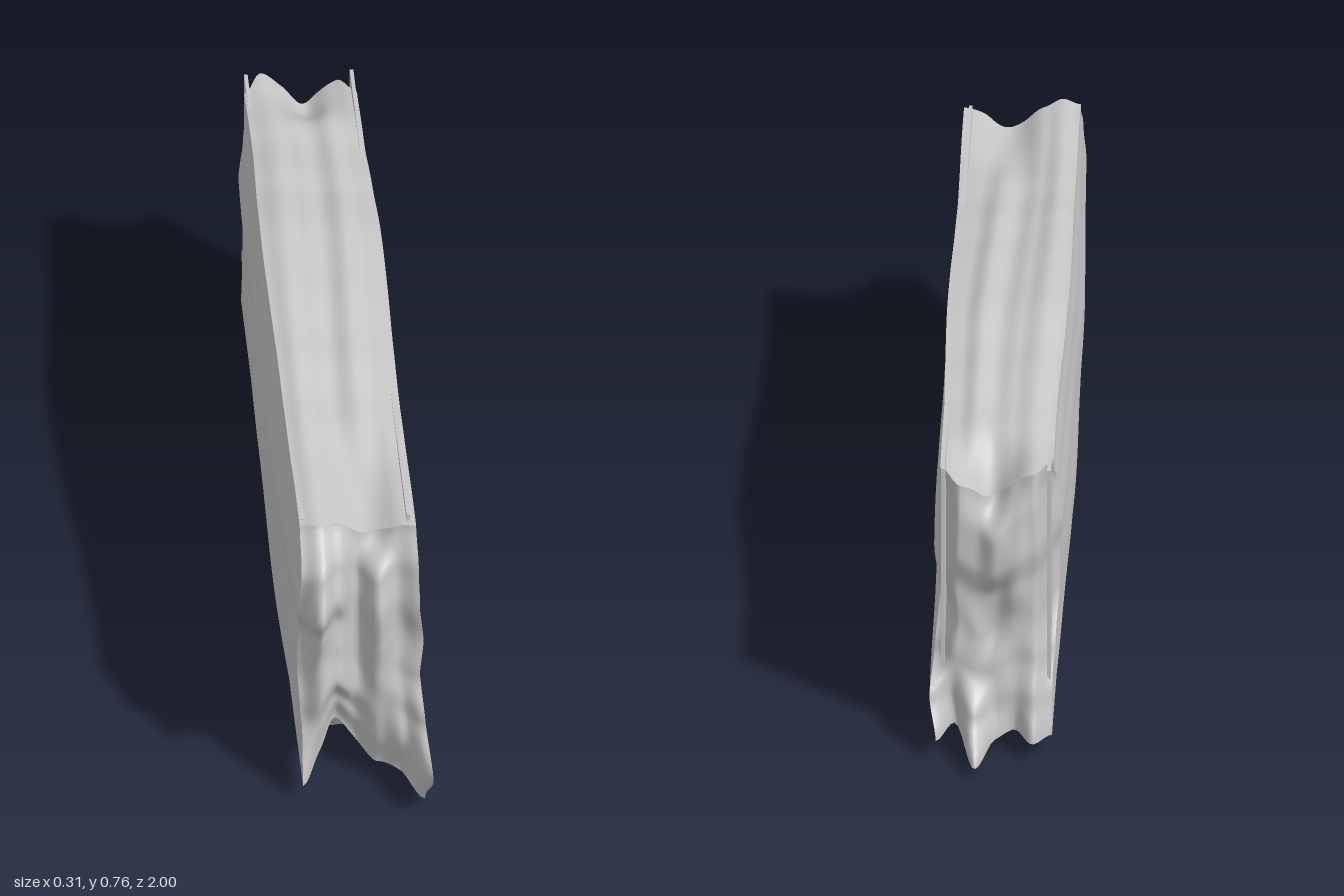
import * as THREE from 'three';

const ss = (t) => t * t * (3 - 2 * t);
const bump = (x, centre, width) => Math.exp(-(((x - centre) / width) ** 2));
const step = THREE.MathUtils.smoothstep;

// Smooth lookup in an evenly spaced list, t from 0 to 1
function along(list, t) {
  const f = Math.min(Math.max(t, 0), 1) * (list.length - 1);
  const i = Math.min(Math.floor(f), list.length - 2);
  return list[i] + (list[i + 1] - list[i]) * ss(f - i);
}
// Smooth lookup in a grid: rows go up, columns go from -x to +x
const grid = (rows, u, v) => along(rows.map((r) => along(r, u)), v);

// Reach of the ragged ends along z
const FRONT = [
  [0.90, 0.84, 0.79, 0.78, 0.82, 0.85, 0.93],
  [0.88, 0.86, 0.82, 0.80, 0.84, 0.88, 1.00],
  [0.86, 0.89, 0.87, 0.82, 0.84, 0.85, 0.90],
  [0.82, 0.87, 0.86, 0.81, 0.85, 0.83, 0.85],
  [0.81, 0.89, 0.85, 0.81, 0.86, 0.82, 0.84],
  [0.87, 0.95, 0.88, 0.81, 0.87, 0.83, 0.85],
  [0.88, 0.91, 0.85, 0.80, 0.85, 0.82, 0.84],
  [0.80, 0.81, 0.79, 0.78, 0.77, 0.79, 0.80],
];
const BACK = [
  [0.87, 0.92, 0.87, 0.89, 1.00, 0.85, 0.92],
  [0.85, 0.89, 0.87, 0.87, 0.92, 0.85, 0.88],
  [0.80, 0.86, 0.85, 0.86, 0.86, 0.85, 0.80],
  [0.70, 0.84, 0.84, 0.83, 0.85, 0.84, 0.70],
  [0.69, 0.84, 0.86, 0.84, 0.84, 0.84, 0.69],
  [0.71, 0.86, 0.88, 0.88, 0.86, 0.86, 0.70],
  [0.72, 0.86, 0.87, 0.885, 0.86, 0.86, 0.71],
  [0.78, 0.85, 0.84, 0.82, 0.84, 0.85, 0.79],
];
// Ridge line of the top from z = -1 to z = 1, and its fall across x
const TOP = [0.69, 0.70, 0.72, 0.745, 0.77, 0.765, 0.75, 0.725, 0.71, 0.705, 0.70];
const TOP_ACROSS = [-0.012, 0, -0.014, -0.026, -0.013, -0.03, -0.034];
// Underside height across x
const BOTTOM = [0.047, 0.05, 0.062, 0.066, 0.052, 0.07, 0.055];
// Half widths from bottom to top
const LEFT = [0.142, 0.154, 0.145, 0.138, 0.148, 0.138, 0.134, 0.131];
const RIGHT = [0.132, 0.134, 0.146, 0.149, 0.147, 0.154, 0.145, 0.134];

// Box whose vertices are pushed out to a weathered, grainy slab
function slabGeometry() {
  const geo = new THREE.BoxGeometry(2, 2, 2, 32, 48, 80);
  const p = geo.attributes.position;
  for (let i = 0; i < p.count; i++) {
    const a = p.getX(i), w = p.getZ(i);
    const u = (a + 1) / 2, v = (p.getY(i) + 1) / 2;
    const z = w * grid(w > 0 ? FRONT : BACK, u, v);
    // Grain drifts slowly sideways along the length
    const drift = u + 0.05 * Math.sin(z * 3) * (1 - a * a);
    const fade = 1 - 0.6 * z * z;
    // Top has a hollow at each end
    const top = along(TOP, (z + 1) / 2) + along(TOP_ACROSS, drift) * fade
      - 0.045 * bump(u, 0.62, 0.17) * step(z, 0.35, 0.75)
      - 0.06 * bump(u, 0.56, 0.24) * step(-z, 0.64, 0.8);
    // Underside hangs down near both ends and is cut up into an arch at the front
    const low = along(BOTTOM, drift)
      - 0.05 * bump(u, 1, 0.22) * bump(z, 0.78, 0.22)
      - 0.036 * bump(u, 0.62, 0.18) * bump(z, -0.84, 0.25)
      - 0.02 * bump(u, 0.3, 0.2) * bump(z, 0.65, 0.25)
      + 0.11 * bump(u, 0.3, 0.17) * step(z, 0.66, 0.8);
    // Sides narrow toward the ends
    const narrow = z * z * (a < 0 ? 0.025 : z < 0 ? 0.014 : 0);
    const wave = 0.002 * Math.sin(z * 7 + v * 9);
    const half = along(a > 0 ? LEFT : RIGHT, v) - narrow + wave;
    p.setXYZ(i, a * Math.max(half, 0.125), low + (top - low) * v, z);
  }
  geo.computeVertexNormals();
  return geo;
}

export function createModel() {
  const stone = new THREE.MeshStandardMaterial({ color: 0xc6c6c6 });
  stone.name = 'grey stone';
  const model = new THREE.Group();
  model.name = 'weatheredSlab';

  const slab = new THREE.Mesh(slabGeometry(), stone);
  slab.name = 'raggedShell';
  model.add(slab);

  // Flat inner sides showing where the shell is broken away
  for (const side of [-1, 1]) {
    const plate = new THREE.Mesh(new THREE.BoxGeometry(0.008, 0.62, 1.62), stone);
    plate.name = side > 0 ? 'leftInnerSide' : 'rightInnerSide';
    plate.position.set(side * 0.117, 0.39, -0.03);
    model.add(plate);
  }
  return model;
}
